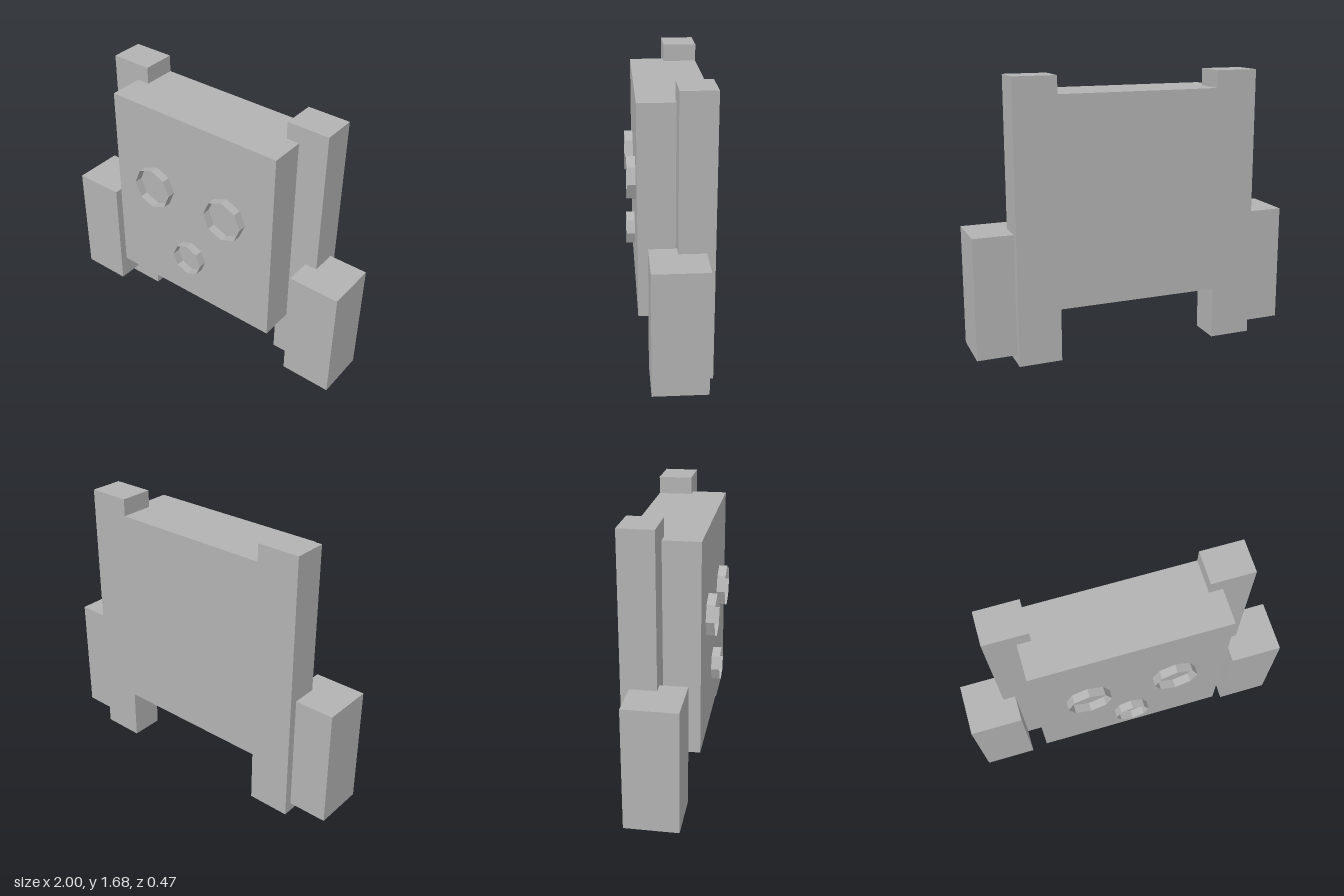
import * as THREE from 'three';

export function createModel() {
  const model = new THREE.Group();
  const grey = new THREE.MeshStandardMaterial({ color: 0xb3b3b3 });
  grey.name = 'plain grey';
  const greyOpen = grey.clone();
  greyOpen.side = THREE.DoubleSide;
  greyOpen.flatShading = true;

  // box from its lower and upper corners
  function block(name, [x0, y0, z0], [x1, y1, z1]) {
    const geo = new THREE.BoxGeometry(x1 - x0, y1 - y0, z1 - z0);
    geo.translate((x0 + x1) / 2, (y0 + y1) / 2, (z0 + z1) / 2);
    const mesh = new THREE.Mesh(geo, grey);
    mesh.name = name;
    model.add(mesh);
  }

  // main slab, flush with the posts at the back
  block('body', [-0.58, 0.32, -0.235], [0.58, 1.58, 0.184]);

  // tall posts and side blocks on both sides
  block('leftPost', [0.5, 0, -0.235], [0.76, 1.685, -0.03]);
  block('rightPost', [-0.76, 0, -0.235], [-0.5, 1.685, -0.03]);
  block('leftSideBlock', [0.685, 0.055, -0.186], [1, 0.787, 0.13]);
  block('rightSideBlock', [-1, 0.055, -0.186], [-0.685, 0.787, 0.13]);

  // open eight-sided rims on the front
  function rim(name, x, y, radius) {
    const geo = new THREE.CylinderGeometry(radius, radius, 0.052, 8, 1, true);
    geo.rotateX(Math.PI / 2);
    const mesh = new THREE.Mesh(geo, greyOpen);
    mesh.name = name;
    mesh.position.set(x, y, 0.209);
    model.add(mesh);
  }
  rim('leftEyeRim', 0.262, 1.056, 0.131);
  rim('rightEyeRim', -0.265, 1.056, 0.131);
  rim('mouthRim', -0.002, 0.634, 0.105);

  return model;
}
